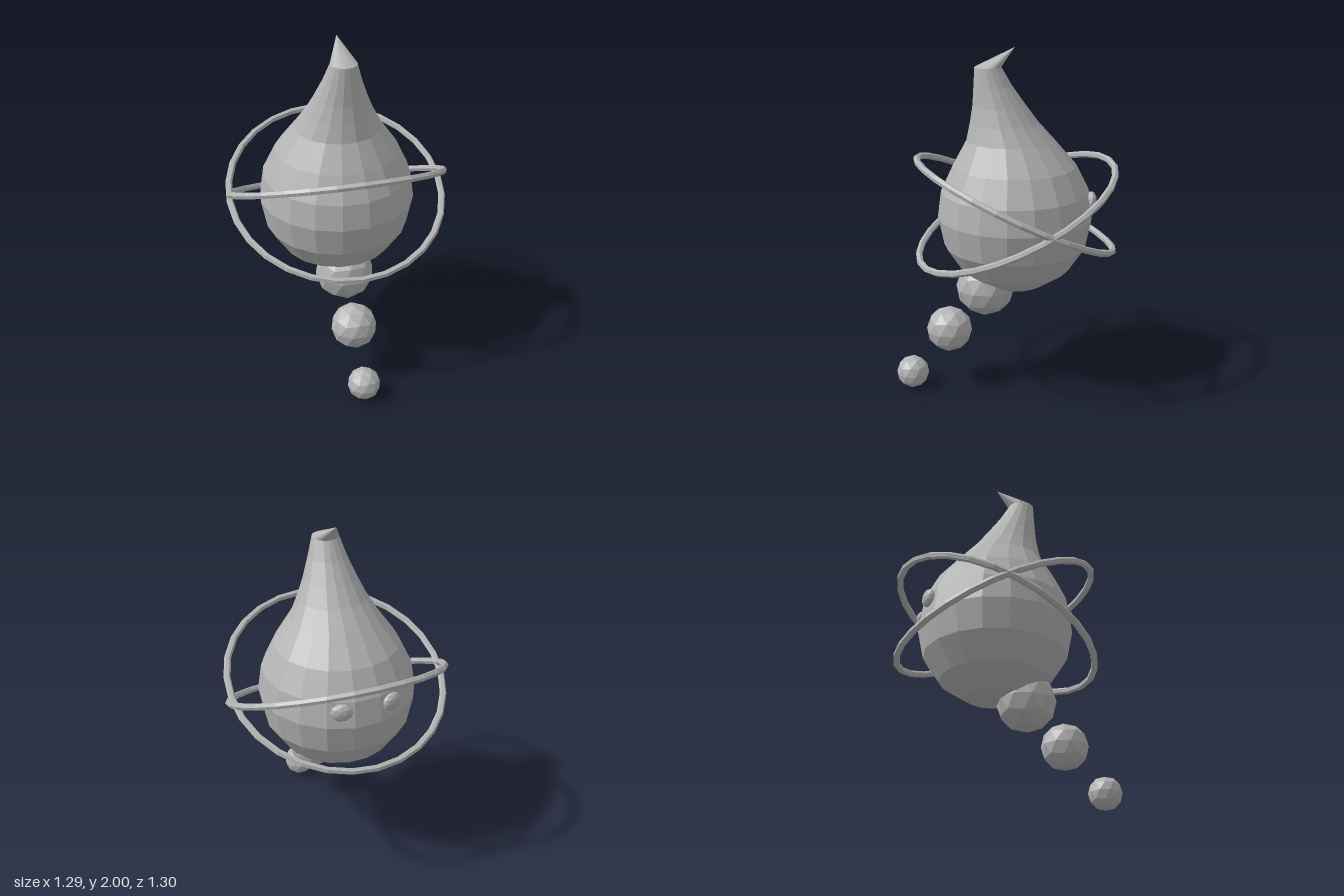
import * as THREE from 'three';

const grey = new THREE.MeshStandardMaterial({ color: 0xb4b4b4 });
grey.name = 'grey';

// Faceted normals, so that every face is shaded on its own
function facet(geometry) {
  const g = geometry.index ? geometry.toNonIndexed() : geometry;
  g.computeVertexNormals();
  return g;
}

// Skin of horizontal rings [y, centre z, radius], listed from the bottom up
function loft(rings, sides) {
  const pos = [], index = [];
  for (const [y, z, r] of rings) {
    for (let j = 0; j < sides; j++) {
      const a = (j / sides) * Math.PI * 2;
      pos.push(r * Math.cos(a), y, z + r * Math.sin(a));
    }
  }
  for (let i = 0; i < rings.length - 1; i++) {
    for (let j = 0; j < sides; j++) {
      const k = (j + 1) % sides;
      const a = i * sides + j, b = i * sides + k;
      const c = a + sides, d = b + sides;
      if (rings[i][2] > 0) index.push(a, d, b);
      if (rings[i + 1][2] > 0) index.push(a, c, d);
    }
  }
  const g = new THREE.BufferGeometry();
  g.setAttribute('position', new THREE.Float32BufferAttribute(pos, 3));
  g.setIndex(index);
  g.computeVertexNormals();
  return g;
}

// Low-poly ball with a corner at the top
function ball(radius) {
  const g = new THREE.IcosahedronGeometry(radius, 1);
  g.rotateZ(-Math.atan(2 / (1 + Math.sqrt(5)))).rotateY(Math.PI / 2);
  return facet(g);
}

export function createModel() {
  const group = new THREE.Group();
  const add = (name, geometry, x = 0, y = 0, z = 0) => {
    const mesh = new THREE.Mesh(geometry, grey);
    mesh.name = name;
    mesh.position.set(x, y, z);
    group.add(mesh);
    return mesh;
  };

  // Body: round below, drawn up into a neck that leans forward
  const rings = [[0.58, -0.066, 0]];
  for (let i = 1; i <= 4; i++) {
    const a = (i * Math.PI) / 8;
    rings.push([1.03 - 0.45 * Math.cos(a), -0.066, 0.45 * Math.sin(a)]);
  }
  rings.push(
    [1.18, -0.064, 0.428], [1.33, -0.06, 0.355], [1.48, -0.035, 0.25],
    [1.58, 0, 0.195], [1.68, 0.03, 0.15], [1.79, 0.066, 0.108], [1.895, 0.094, 0.075]
  );
  add('body', facet(loft(rings, 18)));

  // Pointed tip bent towards the back
  add('tip', loft([[1.895, 0.094, 0.075], [2, -0.06, 0]], 36));

  // Two crossed hoops around the body
  for (const [name, y, tilt] of [['upperHoop', 1.1, -0.45], ['lowerHoop', 1.053, 0.45]]) {
    const hoop = facet(new THREE.TorusGeometry(0.627, 0.02, 6, 28).rotateX(Math.PI / 2));
    add(name, hoop, 0, y, -0.066).rotation.x = tilt;
  }

  // Eyes on the back of the body
  for (const s of [-1, 1]) {
    const eye = add(s > 0 ? 'leftEye' : 'rightEye', ball(1), s * 0.149, 1.13, -0.48);
    eye.scale.set(0.063, 0.053, 0.03);
    eye.rotation.y = -s * 0.3;
  }

  // Trail of shrinking balls
  [[0.6, 0.115, 0.173], [0.35, 0.335, 0.135], [0.096, 0.56, 0.096]].forEach(([y, z, r], i) =>
    add('trailBall' + (i + 1), ball(r), 0, y, z));

  return group;
}
